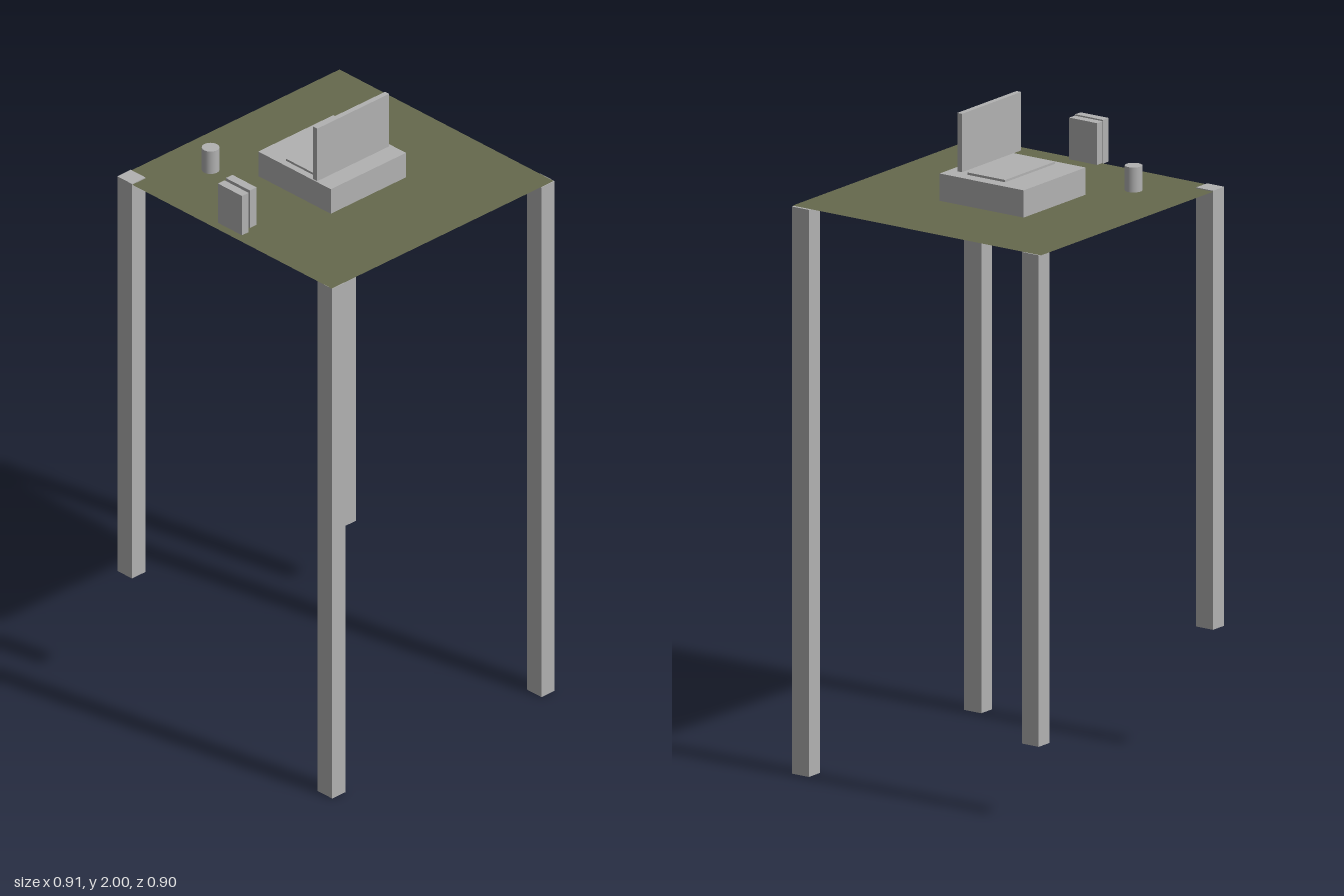
import * as THREE from 'three';

export function createModel() {
  const model = new THREE.Group();
  const grey = new THREE.MeshStandardMaterial({ color: 0xb2b2b2 });
  grey.name = 'grey';
  const olive = new THREE.MeshStandardMaterial({ color: 0x66694d, side: THREE.DoubleSide });
  olive.name = 'olive';

  const add = (name, geometry, material, x, y, z) => {
    const mesh = new THREE.Mesh(geometry, material);
    mesh.name = name;
    mesh.position.set(x, y, z);
    model.add(mesh);
    return mesh;
  };

  // Box given by its limits on each axis
  const box = (name, [x0, x1], [y0, y1], [z0, z1]) =>
    add(name, new THREE.BoxGeometry(x1 - x0, y1 - y0, z1 - z0), grey,
      (x0 + x1) / 2, (y0 + y1) / 2, (z0 + z1) / 2);

  // Thin table top
  const top = new THREE.PlaneGeometry(0.904, 0.904).rotateX(-Math.PI / 2);
  add('tableTop', top, olive, -0.002, 1.729, -0.002);

  // Legs of uneven length; the back right one pokes through the top
  box('frontLeftLeg', [0.4, 0.454], [0, 1.727], [0.388, 0.45]);
  box('frontRightLeg', [-0.452, -0.398], [0, 1.727], [0.388, 0.45]);
  box('backLeftLeg', [0.394, 0.448], [0.23, 1.727], [-0.444, -0.383]);
  box('backRightLeg', [-0.455, -0.4], [0.395, 1.732], [-0.454, -0.392]);

  // Computer: base, keyboard and upright screen
  box('computerBase', [-0.153, 0.153], [1.728, 1.812], [-0.172, 0.134]);
  box('keyboard', [-0.132, 0.115], [1.81, 1.819], [-0.077, 0.06]);
  box('screen', [-0.161, 0.132], [1.822, 2], [0.068, 0.085]);

  // Pair of standing books
  box('outerBook', [-0.443, -0.416], [1.742, 1.875], [-0.042, 0.06]);
  box('innerBook', [-0.404, -0.377], [1.748, 1.875], [-0.049, 0.053]);

  // Cup
  add('cup', new THREE.CylinderGeometry(0.026, 0.026, 0.076, 24), grey, -0.242, 1.779, -0.281);

  return model;
}
